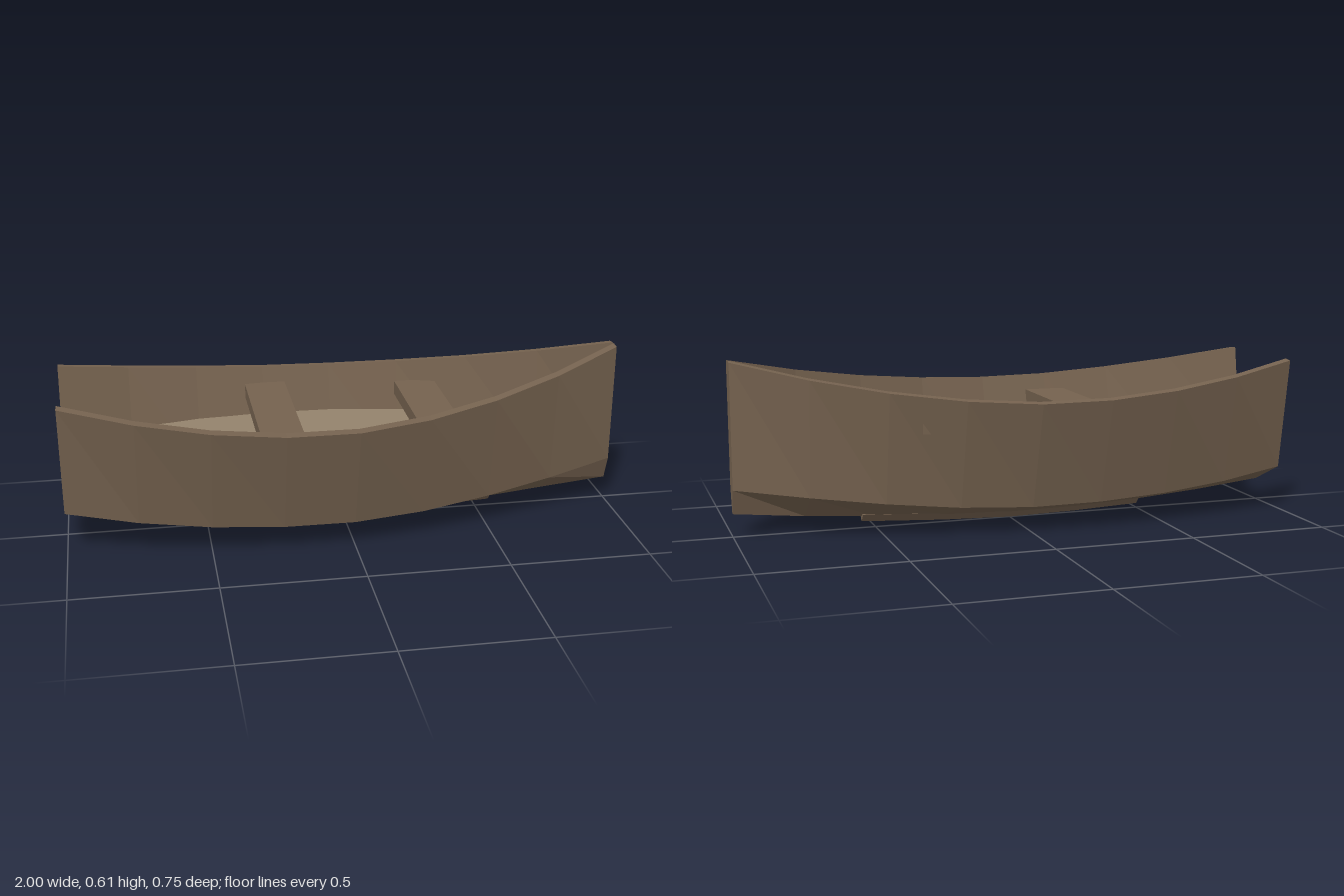
import * as THREE from 'three';

const wood = new THREE.MeshStandardMaterial({ color: 0x75624f, flatShading: true, side: THREE.DoubleSide });
const paleWood = new THREE.MeshStandardMaterial({ color: 0x94836c, flatShading: true });

// Hull stations: x, gunwale half-width and height, chine half-width and height, keel height
const stations = [
  [-1.0, 0.235, 0.565, 0.170, 0.160, 0.082],
  [-0.75, 0.308, 0.523, 0.222, 0.130, 0.055],
  [-0.5, 0.356, 0.492, 0.256, 0.110, 0.035],
  [-0.25, 0.376, 0.473, 0.270, 0.098, 0.023],
  [0.0, 0.370, 0.470, 0.266, 0.095, 0.020],
  [0.25, 0.325, 0.484, 0.234, 0.103, 0.026],
  [0.5, 0.250, 0.512, 0.180, 0.121, 0.040],
  [0.75, 0.153, 0.554, 0.112, 0.145, 0.058],
  [1.0, 0.037, 0.610, 0.032, 0.172, 0.083],
];

// Interpolated station at any x
function stationAt(x) {
  const t = (x + 1) / 0.25;
  const i = Math.min(Math.floor(t), stations.length - 2);
  return stations[i].map((v, k) => THREE.MathUtils.lerp(v, stations[i + 1][k], t - i));
}

// Inner skin at a station: gunwale, chine and keel as [z, y]
function innerSkin([x, gz, gy, cz, cy, ky]) {
  const bow = THREE.MathUtils.clamp((x - 0.5) / 0.5, 0, 1);
  return [
    [gz - 0.033, gy + 0.004],
    [cz - 0.029, cy + 0.024 - 0.012 * bow],
    [0, ky + 0.034 + 0.063 * bow],
  ];
}

// Skin closed cross-sections, each a loop of [x, y, z], and cap both ends
function loft(sections) {
  const pos = [];
  const quad = (a, b, c, d) => pos.push(...a, ...b, ...c, ...a, ...c, ...d);
  const n = sections[0].length;
  for (let i = 0; i < sections.length - 1; i++) {
    const p = sections[i], q = sections[i + 1];
    for (let j = 0; j < n; j++) {
      const k = (j + 1) % n;
      quad(p[j], p[k], q[k], q[j]);
    }
  }
  const first = sections[0], last = sections[sections.length - 1];
  for (let j = 0; j < n / 2 - 1; j++) {
    quad(last[j], last[j + 1], last[n - 2 - j], last[n - 1 - j]);
    quad(first[n - 1 - j], first[n - 2 - j], first[j + 1], first[j]);
  }
  const geometry = new THREE.BufferGeometry();
  geometry.setAttribute('position', new THREE.Float32BufferAttribute(pos, 3));
  geometry.computeVertexNormals();
  return geometry;
}

function add(group, name, geometry, material) {
  const mesh = new THREE.Mesh(geometry, material);
  mesh.name = name;
  group.add(mesh);
  return mesh;
}

export function createModel() {
  const boat = new THREE.Group();
  boat.name = 'rowingBoat';

  // Hull: thick V-bottomed shell, open at the stern and slit at the bow
  const hull = stations.map((s) => {
    const [x, gz, gy, cz, cy, ky] = s;
    const [g, c, k] = innerSkin(s);
    return [
      [gz, gy], [cz, cy], [0, ky], [-cz, cy], [-gz, gy],
      [-g[0], g[1]], [-c[0], c[1]], k, c, g,
    ].map(([z, y]) => [x, y, z]);
  });
  add(boat, 'hull', loft(hull), wood);

  // Floor: slab whose edges sink into the hull sides
  const floorTop = 0.31, floorBottom = 0.25;
  const floor = [-0.72, -0.5, -0.25, 0, 0.25, 0.5, 0.75].map((x) => {
    const [g, c] = innerSkin(stationAt(x));
    const zAt = (y) => THREE.MathUtils.mapLinear(y, c[1], g[1], c[0], g[0]) + 0.005;
    const top = zAt(floorTop), bottom = zAt(floorBottom);
    return [[x, floorTop, top], [x, floorBottom, bottom], [x, floorBottom, -bottom], [x, floorTop, -top]];
  });
  add(boat, 'floor', loft(floor), paleWood);

  // Thwarts: x centre, half-width
  for (const [name, x, half] of [['rearSeat', -0.245, 0.325], ['frontSeat', 0.315, 0.259]]) {
    const seat = add(boat, name, new THREE.BoxGeometry(0.15, 0.05, half * 2), wood);
    seat.position.set(x, 0.395, -0.002);
  }

  // Keel strip: V section following the bottom
  const keel = [[-0.5, 0.018], [-0.25, 0.007], [0, 0.002], [0.25, 0.009], [0.55, 0.025]].map(([x, y]) => [
    [x, y + 0.03, 0.03], [x, y, 0], [x, y + 0.03, -0.03], [x, y + 0.03, 0],
  ]);
  add(boat, 'keel', loft(keel), wood);

  // Rest on the ground plane
  boat.position.y = -0.002;
  return boat;
}
